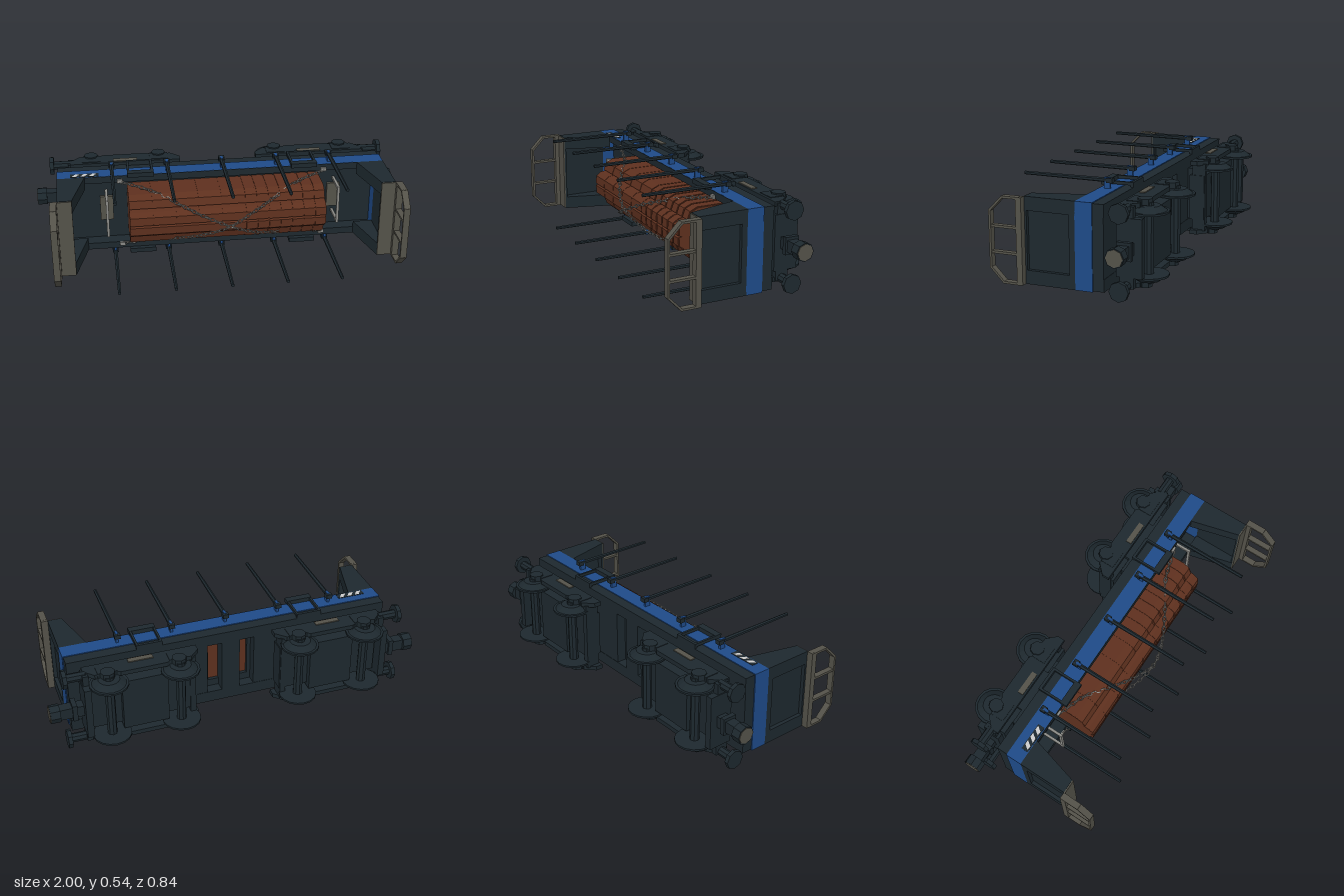
import * as THREE from 'three';

const mat = color => new THREE.MeshStandardMaterial({ color, flatShading: true });

export function createModel() {
  const dark = mat(0x1d282e), blue = mat(0x1e4a88), brown = mat(0x5e301e);
  const grey = mat(0x545249), pale = mat(0xc8c8c4), steel = mat(0x8a8a86);

  // The wagon is built upright (x long, y up, z across) and laid on its side at the end.
  const wagon = new THREE.Group();
  wagon.name = 'wagon';
  let target = wagon;

  const add = (name, geo, material) => {
    const m = new THREE.Mesh(geo, material);
    m.name = name;
    target.add(m);
    return m;
  };
  // Box from its limits along each axis
  const box = (name, material, x0, x1, y0, y1, z0, z1) => {
    const g = new THREE.BoxGeometry(Math.abs(x1 - x0), Math.abs(y1 - y0), Math.abs(z1 - z0));
    g.translate((x0 + x1) / 2, (y0 + y1) / 2, (z0 + z1) / 2);
    return add(name, g, material);
  };
  const extrude = (pts, depth) => new THREE.ExtrudeGeometry(
    new THREE.Shape(pts.map(p => new THREE.Vector2(...p))), { depth, bevelEnabled: false });
  // Side profile in x, y pulled across from z0 to z1
  const slab = (name, material, pts, z0, z1) =>
    add(name, extrude(pts, z1 - z0).translate(0, 0, z0), material);
  // Round part along x or z; r1 is the radius at the positive end
  const round = (name, material, axis, r0, r1, len, x, y, z, sides = 8) => {
    const g = new THREE.CylinderGeometry(r1, r0, len, sides);
    if (axis === 'x') g.rotateZ(-Math.PI / 2);
    if (axis === 'z') g.rotateX(Math.PI / 2);
    return add(name, g.translate(x, y, z), material);
  };
  const bar = (name, material, a, b, thick, wide = thick) => {
    const A = new THREE.Vector3(...a), B = new THREE.Vector3(...b);
    const m = add(name, new THREE.BoxGeometry(wide, thick, A.distanceTo(B) + thick * 0.5), material);
    m.position.copy(A).lerp(B, 0.5);
    m.lookAt(B);
  };

  // Sunken deck, open around the middle, between raised sills
  for (const s of [-1, 1]) {
    box('deck', dark, s * 0.11, s * 0.85, -0.11, -0.09, -0.2, 0.2);
    box('deckEdge', dark, -0.11, 0.11, -0.11, -0.09, s * 0.11, s * 0.2);
    box('blueSill', blue, -0.88, 0.88, -0.107, -0.02, s * 0.2, s * 0.2175);
    box('sillRim', dark, -0.84, 0.84, -0.1, -0.017, s * 0.18, s * 0.2);
    box('sillCap', dark, -0.84, 0.84, -0.02, -0.017, s * 0.2, s * 0.217);
    box('blueEnd', blue, s * 0.84, s * 0.88, -0.107, -0.018, -0.2, 0.2);
    box('lowerSill', dark, -0.875, 0.875, -0.165, -0.107, s * 0.15, s * 0.213);
    box('endSill', dark, s * 0.13, s * 0.875, -0.163, -0.107, -0.15, 0.15);
  }
  box('crossBeam', dark, -0.05, 0.05, -0.165, -0.095, -0.16, 0.16);

  // Hollow bulkheads: side gussets, thin wall, cap and hand rail
  for (const s of [-1, 1]) {
    target = new THREE.Group();
    target.name = 'bulkhead';
    wagon.add(target);
    const gusset = [[s * 0.735, -0.02], [s * 0.88, -0.02], [s * 0.88, 0.243], [s * 0.805, 0.243]];
    slab('gusset', dark, gusset, 0.148, 0.2175);
    slab('gusset', dark, gusset, -0.2175, -0.148);
    box('bulkheadWall', dark, s * 0.84, s * 0.86, -0.018, 0.243, -0.15, 0.15);
    box('wallFoot', dark, s * 0.86, s * 0.88, -0.018, 0.012, -0.15, 0.15);
    box('wallHead', dark, s * 0.805, s * 0.88, 0.233, 0.243, -0.15, 0.15);
    box('capPlate', grey, s * 0.805, s * 0.88, 0.243, 0.25, -0.215, 0.215);
    box('railFoot', grey, s * 0.88, s * 0.915, 0.243, 0.273, -0.217, 0.217);
    const rail = [[0.26, 0.212], [0.345, 0.212], [0.413, 0.142], [0.413, -0.142], [0.345, -0.212], [0.26, -0.212]];
    for (let i = 0; i < rail.length - 1; i++)
      bar('handRail', grey, [s * 0.898, ...rail[i]], [s * 0.898, ...rail[i + 1]], 0.011, 0.034);
    for (const z of [0.065, -0.065])
      bar('railRung', grey, [s * 0.898, 0.265, z], [s * 0.898, 0.41, z], 0.012, 0.03);
  }
  target = wagon;

  for (const s of [-1, 1]) {
    // Side stakes with blue brackets
    for (const x of [-0.59, -0.295, 0, 0.295, 0.585]) {
      const g = new THREE.CylinderGeometry(0.009, 0.012, 0.48, 6);
      add('stake', g.translate(x, 0.15, s * 0.259), dark);
      box('stakeBracket', blue, x - 0.007, x + 0.007, -0.075, -0.045, s * 0.21, s * 0.272);
      box('stakeClamp', dark, x - 0.016, x + 0.016, -0.09, -0.06, s * 0.247, s * 0.27);
    }
    // Side steps
    for (const x of [-0.44, 0.44]) {
      box('stepPlate', dark, x - 0.07, x + 0.07, -0.03, 0.008, s * 0.215, s * 0.24);
      box('stepTread', dark, x - 0.068, x + 0.068, -0.165, -0.15, s * 0.212, s * 0.238);
      for (const d of [-0.063, 0.063])
        box('stepPost', dark, x + d - 0.006, x + d + 0.006, -0.16, -0.02, s * 0.222, s * 0.238);
    }
    // Slanted warning stripes
    box('stripePlate', dark, s * 0.81, s * 0.66, -0.062, -0.024, s * 0.215, s * 0.2195);
    for (let i = 0; i < 3; i++) {
      const x = s * (0.78 - i * 0.045), z = s * 0.2185;
      slab('warningStripe', pale,
        [[x - 0.022, -0.03], [x - 0.002, -0.058], [x + 0.022, -0.058], [x + 0.002, -0.03]], z - 0.002, z + 0.002);
    }
    // Grey hand bars at each end of the load
    box('handBarPlate', grey, s * 0.59, s * 0.66, -0.091, -0.075, -0.07, 0.07);
    bar('handBar', steel, [s * 0.625, 0.045, -0.105], [s * 0.625, 0.045, 0.105], 0.014);
    for (const z of [-0.1, 0.1]) bar('handBarLeg', steel, [s * 0.625, -0.092, z], [s * 0.625, 0.045, z], 0.014);
  }

  // Humped load in four long rows, with close ribs over one half
  const half = [[0.138, -0.092], [0.138, 0.06], [0.12, 0.1], [0.08, 0.115], [0.075, 0.1],
    [0.07, 0.135], [0.05, 0.163], [0.006, 0.166]];
  const profile = [...half, [0, 0.15], ...half.map(([z, y]) => [-z, y]).reverse()];
  const loadPart = (name, x0, x1, grow) => {
    const pts = profile.map(([z, y]) => [z * (1 + grow * 6), y + (y > 0 ? grow : 0)]);
    add(name, extrude(pts, x1 - x0).rotateY(Math.PI / 2).translate(x0, 0, 0), brown);
  };
  loadPart('load', -0.512, 0.535, 0);
  for (let i = 0; i < 5; i++) loadPart('loadSection', -0.511 + i * 0.122, -0.394 + i * 0.122, 0.002);
  for (let i = 0; i < 7; i++) loadPart('loadRib', 0.105 + i * 0.062, 0.157 + i * 0.062, 0.004);

  // Two chains crossing over the load
  for (const s of [-1, 1]) {
    const path = new THREE.CatmullRomCurve3([
      [-0.55, -0.01, -0.185], [-0.4, 0.035, -0.15], [-0.26, 0.12, -0.105], [-0.14, 0.185, -0.06],
      [0, 0.222, -0.005], [0.14, 0.185, 0.06], [0.26, 0.12, 0.105], [0.4, 0.035, 0.15], [0.55, -0.01, 0.185]
    ].map(([x, y, z]) => new THREE.Vector3(x, y, z * s)));
    const n = 48;
    for (let i = 0; i < n; i++) {
      const link = add('chainLink', new THREE.TorusGeometry(0.009, 0.0032, 4, 6), steel);
      link.geometry.scale(1, 1.6, 1).rotateX(Math.PI / 2).rotateZ((i % 2) * Math.PI / 2);
      const t = (i + 0.5) / n, p = path.getPointAt(t);
      link.position.copy(p);
      link.lookAt(p.add(path.getTangentAt(t)));
    }
    for (const e of [-1, 1])
      box('chainAnchor', steel, e * 0.535, e * 0.565, -0.02, -0.005, e * s * 0.18, e * s * 0.2);
  }

  // Bogies: o points to the outer end
  for (const o of [-1, 1]) {
    target = new THREE.Group();
    target.name = 'bogie';
    wagon.add(target);
    const c = o * 0.51;
    box('bolster', dark, c - 0.2, c + 0.2, -0.195, -0.16, -0.145, 0.145);
    box('bogieBody', dark, c - 0.12, c + 0.12, -0.318, -0.19, -0.145, 0.145);
    box('bogieFloor', dark, c - 0.27, c + 0.28, -0.285, -0.2, -0.125, 0.125);
    for (const d of [-0.185, 0.185]) {
      round('axle', dark, 'z', 0.025, 0.025, 0.4, c + d, -0.32, 0);
      for (const s of [-1, 1]) {
        // Flanged wheel with a dished face
        const [r0, r1] = s > 0 ? [0.09, 0.055] : [0.055, 0.09];
        round('wheelFlange', dark, 'z', 0.1, 0.1, 0.01, c + d, -0.32, s * 0.156, 16);
        round('wheelDish', dark, 'z', r0, r1, 0.026, c + d, -0.32, s * 0.172, 16);
        round('axleBox', dark, 'z', 0.038, 0.038, 0.03, c + d, -0.3, s * 0.202);
        box('axleGuard', dark, c + d - 0.05, c + d + 0.05, -0.3, -0.225, s * 0.185, s * 0.21);
      }
    }
    for (const s of [-1, 1]) {
      const edge = [[0.3, -0.21], [0.3, -0.25], [0.25, -0.3], [0.16, -0.285], [0.12, -0.312]];
      const outline = [...edge, ...edge.map(([x, y]) => [-x, y]).reverse()].map(([x, y]) => [c + x, y]);
      slab('sideFrame', dark, outline, s * 0.195 - 0.012, s * 0.195 + 0.012);
      box('springPack', grey, c - 0.065, c + 0.065, -0.25, -0.22, s * 0.2, s * 0.212);
      // Buffers
      round('bufferStem', dark, 'x', 0.024, 0.024, 0.1, o * 0.85, -0.255, s * 0.187);
      round('bufferHead', dark, 'x', 0.05, 0.05, 0.022, o * 0.908, -0.255, s * 0.187);
    }
    box('endBeam', dark, o * 0.79, o * 0.825, -0.335, -0.205, -0.145, 0.145);
    box('endBeamBar', dark, o * 0.79, o * 0.82, -0.29, -0.22, -0.2, 0.2);
    box('innerBeam', dark, o * 0.235, o * 0.265, -0.29, -0.215, -0.19, 0.19);
    // Coupler
    box('couplerShaft', dark, o * 0.81, o * 0.95, -0.295, -0.24, -0.03, 0.03);
    box('couplerCollar', dark, o * 0.86, o * 0.885, -0.305, -0.23, -0.045, 0.045);
    round('couplerHead', dark, 'x', 0.048, 0.048, 0.05, o * 0.972, -0.268, 0);
    round('couplerFace', grey, 'x', 0.043, 0.043, 0.006, o * 0.997, -0.268, 0);
  }

  // Lay the wagon on its side
  wagon.rotation.x = Math.PI / 2;
  wagon.position.y = 0.272;
  const model = new THREE.Group();
  model.name = 'flatWagon';
  model.add(wagon);
  return model;
}
